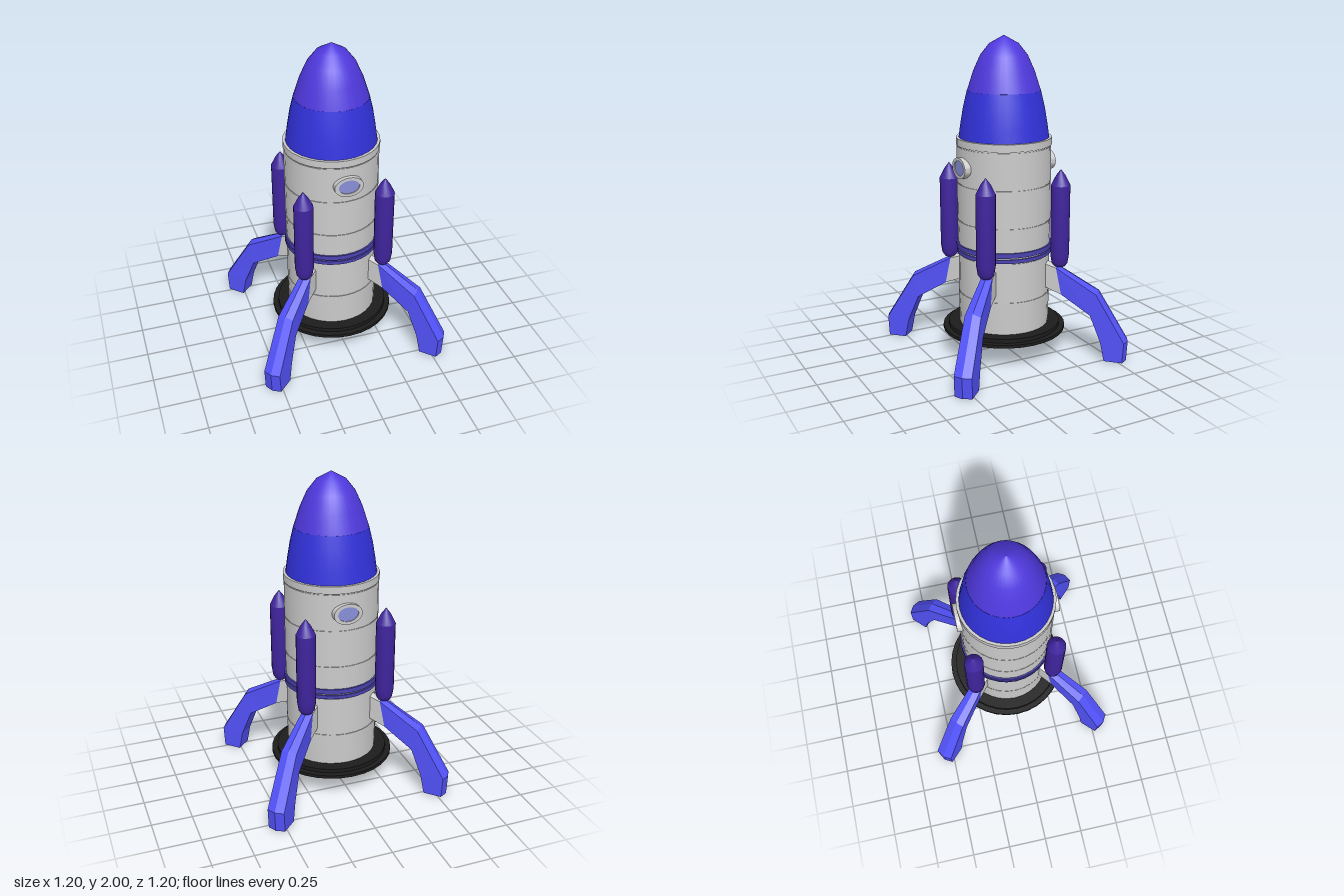
import * as THREE from 'three';
import { toCreasedNormals } from 'three/addons/utils/BufferGeometryUtils.js';

const mat = (color, flatShading = false) => new THREE.MeshStandardMaterial({ color, flatShading });
const GREY = mat(0xcccccc);
const FIN_GREY = mat(0xcccccc, true);
const FIN_BLUE = mat(0x5252fa, true);
const NOSE_TIP = mat(0x4f38dd);
const NOSE_BLUE = mat(0x3232dd);
const BAND = mat(0x4a42b0);
const BOOSTER = mat(0x40259f);
const BLACK = mat(0x1c1c1c);
const GLASS = mat(0x8890d8);

function add(parent, name, geometry, material) {
  const mesh = new THREE.Mesh(geometry, material);
  mesh.name = name;
  parent.add(mesh);
  return mesh;
}

// Turned part from [radius, y] pairs, listed bottom to top
function turned(profile, segments = 32) {
  const points = profile.map(([r, y]) => new THREE.Vector2(r, y));
  return toCreasedNormals(new THREE.LatheGeometry(points, segments), 0.45);
}

// Ridged bar lofted through stations: outer edge, inner edge (radius, y) and half thickness
function ridgedBar(stations) {
  const positions = [], index = [], n = 5;
  for (const { outer, inner, half } of stations) {
    const [ro, yo] = outer, [ri, yi] = inner;
    const k = 0.016 / Math.hypot(ro - ri, yo - yi);
    positions.push(
      ro + (ro - ri) * k, yo + (yo - yi) * k, 0,
      ro, yo, half, ri, yi, half, ri, yi, -half, ro, yo, -half);
  }
  const last = (stations.length - 1) * n;
  for (let s = 0; s < last; s += n) {
    for (let j = 0; j < n; j++) {
      const a = s + j, b = s + (j + 1) % n;
      index.push(a, b, b + n, a, b + n, a + n);
    }
  }
  for (let j = 1; j < n - 1; j++) {
    index.push(0, j + 1, j, last, last + j, last + j + 1);
  }
  const geometry = new THREE.BufferGeometry();
  geometry.setAttribute('position', new THREE.Float32BufferAttribute(positions, 3));
  geometry.setIndex(index);
  geometry.computeVertexNormals();
  return geometry;
}

function createWindow() {
  const group = new THREE.Group();
  const rim = new THREE.Shape().absellipse(0, 0, 0.09, 0.064, 0, Math.PI * 2);
  rim.holes.push(new THREE.Path().absellipse(0, 0, 0.065, 0.045, 0, Math.PI * 2, true));
  const frame = new THREE.ExtrudeGeometry(rim, { depth: 0.065, bevelEnabled: false, curveSegments: 24 });
  add(group, 'windowFrame', toCreasedNormals(frame, 0.6), GREY).position.z = 0.25;
  const pane = new THREE.Shape().absellipse(0, 0, 0.066, 0.046, 0, Math.PI * 2);
  add(group, 'windowGlass', new THREE.ShapeGeometry(pane, 24), GLASS).position.z = 0.309;
  return group;
}

export function createModel() {
  const rocket = new THREE.Group();
  rocket.name = 'rocket';

  // Hull with shallow seams between its panels
  const hull = [[0, 0.18], [0.283, 0.18]];
  const seams = [[0.4, 0.288], [0.65, 0.287], [0.87, 0.292], [1.105, 0.292], [1.335, 0.292]];
  for (const [y, r] of seams) {
    hull.push([r, y - 0.003], [r - 0.004, y - 0.003], [r - 0.004, y + 0.003], [r, y + 0.003]);
  }
  hull.push([0.292, 1.345], [0, 1.345]);
  add(rocket, 'hull', turned(hull), GREY);
  add(rocket, 'collar', turned([[0.26, 1.34], [0.296, 1.34], [0.296, 1.385], [0, 1.385]]), GREY);

  // Coloured bands around the waist
  for (const [low, high] of [[0.655, 0.678], [0.688, 0.718]]) {
    add(rocket, 'waistBand', turned([[0.27, low], [0.299, low], [0.299, high], [0.27, high]]), BAND);
  }

  // Two-tone nose
  add(rocket, 'noseBase',
    turned([[0.279, 1.385], [0.267, 1.47], [0.25, 1.57], [0.226, 1.67], [0, 1.67]]), NOSE_BLUE);
  add(rocket, 'noseTip',
    turned([[0.225, 1.67], [0.188, 1.785], [0.145, 1.88], [0.09, 1.95], [0, 2]]), NOSE_TIP);

  // Stepped engine plate
  add(rocket, 'enginePlate', turned([
    [0, 0.115], [0.26, 0.115], [0.26, 0.145], [0.39, 0.145],
    [0.39, 0.165], [0.355, 0.165], [0.355, 0.19], [0, 0.19]]), BLACK);

  // Oval windows, front and back
  for (const side of [0, 1]) {
    const porthole = createWindow();
    porthole.name = side ? 'backWindow' : 'frontWindow';
    porthole.rotation.y = side * Math.PI;
    porthole.position.set(0.01, 1.215, 0);
    rocket.add(porthole);
  }

  // Four diagonal sets of booster, fin and fin root
  const boosterGeometry = turned([
    [0, 0.58], [0.035, 0.583], [0.05, 0.605], [0.059, 0.66],
    [0.06, 1.1], [0.03, 1.16], [0, 1.2]], 16);
  const finStart = { outer: [0.35, 0.575], inner: [0.385, 0.405], half: 0.036 };
  const rootGeometry = ridgedBar([
    { outer: [0.265, 0.6], inner: [0.265, 0.45], half: 0.036 }, finStart]);
  const finGeometry = ridgedBar([
    finStart,
    { outer: [0.61, 0.43], inner: [0.575, 0.29], half: 0.05 },
    { outer: [0.793, 0.13], inner: [0.645, 0.12], half: 0.055 },
    { outer: [0.785, 0], inner: [0.67, 0], half: 0.055 }]);
  for (let i = 0; i < 4; i++) {
    const set = new THREE.Group();
    set.name = 'finAndBooster';
    set.rotation.y = Math.PI / 4 + i * Math.PI / 2;
    add(set, 'booster', boosterGeometry, BOOSTER).position.x = 0.364;
    add(set, 'finRoot', rootGeometry, FIN_GREY);
    add(set, 'fin', finGeometry, FIN_BLUE);
    rocket.add(set);
  }
  return rocket;
}
